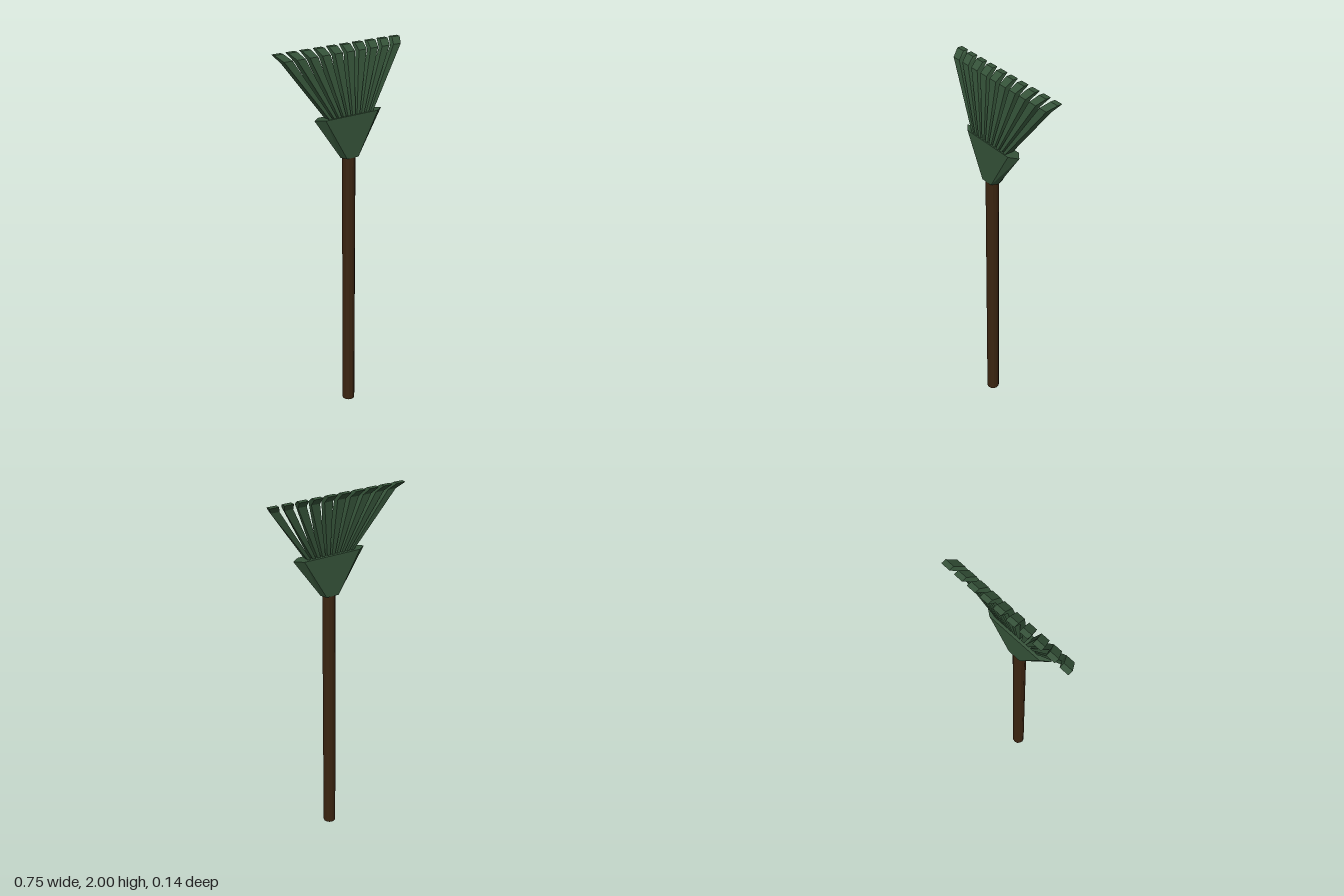
import * as THREE from 'three';

const green = new THREE.MeshStandardMaterial({ color: 0x345238, flatShading: true });
const brown = new THREE.MeshStandardMaterial({ color: 0x3a2410, flatShading: true });

// Joins cross-sections (bottom to top, counter-clockwise seen from above) into a closed solid.
function loft(sections) {
  const n = sections[0].length;
  const index = [];
  for (let s = 0; s < sections.length - 1; s++) {
    for (let i = 0; i < n; i++) {
      const a = s * n + i, b = s * n + (i + 1) % n;
      index.push(a, b, b + n, a, b + n, a + n);
    }
  }
  const top = (sections.length - 1) * n;
  for (let i = 1; i < n - 1; i++) {
    index.push(0, i + 1, i, top, top + i, top + i + 1);
  }
  const geometry = new THREE.BufferGeometry();
  geometry.setAttribute('position', new THREE.Float32BufferAttribute(sections.flat(2), 3));
  geometry.setIndex(index);
  const flat = geometry.toNonIndexed();
  flat.computeVertexNormals();
  return flat;
}

// Six-sided section: flat front and back, pointed sides.
function hexSection(y, side, face, front, back) {
  const mid = (front + back) / 2;
  return [[-face, y, front], [face, y, front], [side, y, mid],
    [face, y, back], [-face, y, back], [-side, y, mid]];
}

// Four-sided tine section; the front and back edges may differ in height.
function tineSection(x, width, yFront, yBack, front, back) {
  const h = width / 2;
  return [[x - h, yFront, front], [x + h, yFront, front], [x + h, yBack, back], [x - h, yBack, back]];
}

export function createModel() {
  const rake = new THREE.Group();
  rake.name = 'rake';
  const add = (name, geometry, material, parent = rake) => {
    const mesh = new THREE.Mesh(geometry, material);
    mesh.name = name;
    parent.add(mesh);
    return mesh;
  };

  // Long wooden handle
  const handle = add('handle', new THREE.CylinderGeometry(0.034, 0.034, 1.48, 12), brown);
  handle.position.set(0, 0.74, 0.033);

  // Flared socket holding the tines
  add('socket', loft([
    hexSection(1.45, 0.05, 0.035, 0.068, -0.004),
    hexSection(1.67, 0.205, 0.16, 0.063, -0.004),
  ]), green);

  // Fan of ten tines, widening upward and hooked backward at the tips
  const tines = new THREE.Group();
  tines.name = 'tines';
  rake.add(tines);
  for (let i = 0; i < 10; i++) {
    const k = i - 4.5;
    add('tine', loft([
      tineSection(k * 0.0255, 0.016, 1.655, 1.655, 0.06, 0.012),
      tineSection(k * 0.0725, 0.047, 1.972, 1.96, 0, -0.028),
      tineSection(k * 0.078, 0.05, 2, 2, -0.043, -0.07),
    ]), green, tines);
  }
  return rake;
}
